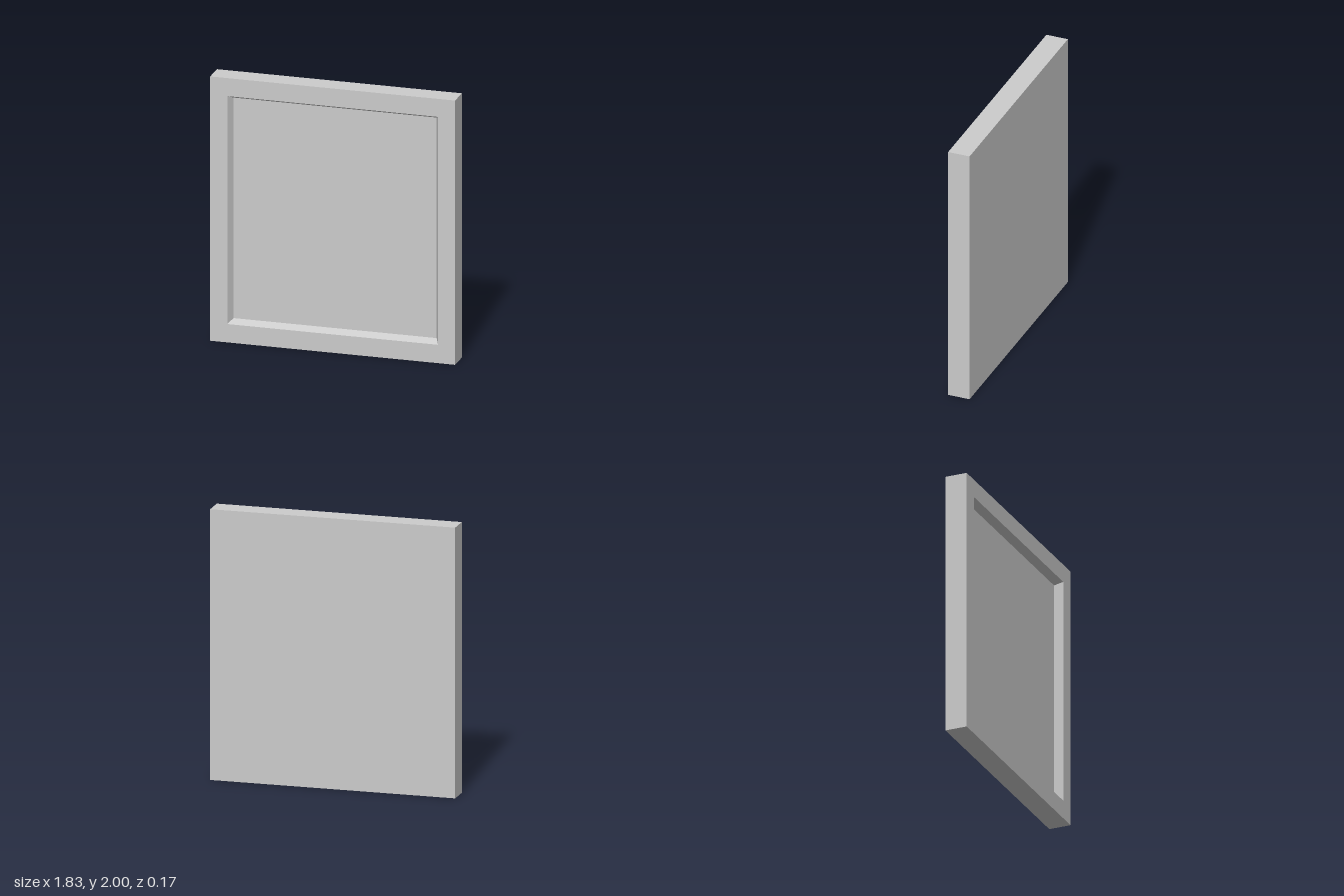
import * as THREE from 'three';

// Rectangular cross-sections: half width, bottom, top, z
const back = [0.914, 0, 2, -0.083];
const front = [0.914, 0, 2, 0.083];
const opening = [0.786, 0.139, 1.864, 0.083];
const floor = [0.758, 0.167, 1.836, 0.023];

// Corners counter-clockwise as seen from the front
const corners = ([w, y0, y1, z]) => [[-w, y0, z], [w, y0, z], [w, y1, z], [-w, y1, z]];

const quad = (a, b, c, d) => [a, b, c, a, c, d];

// Band of four faces joining one rectangle to the next
function band(from, to) {
  const a = corners(from), b = corners(to);
  return a.flatMap((p, i) => {
    const j = (i + 1) % 4;
    return quad(p, a[j], b[j], b[i]);
  });
}

function createModel() {
  const group = new THREE.Group();
  const material = new THREE.MeshStandardMaterial({ color: 0xcccccc, flatShading: true });

  const add = (name, points) => {
    const geometry = new THREE.BufferGeometry();
    geometry.setAttribute('position', new THREE.Float32BufferAttribute(points.flat(), 3));
    geometry.computeVertexNormals();
    const mesh = new THREE.Mesh(geometry, material);
    mesh.name = name;
    group.add(mesh);
  };

  // Back board, outer sides and flat front border
  add('backBoard', quad(...corners(back).reverse()));
  add('outerSides', band(back, front));
  add('frontBorder', band(front, opening));
  // Sloping walls of the recess and its flat panel
  add('recessBevel', band(opening, floor));
  add('recessedPanel', quad(...corners(floor)));

  return group;
}

export { createModel };
